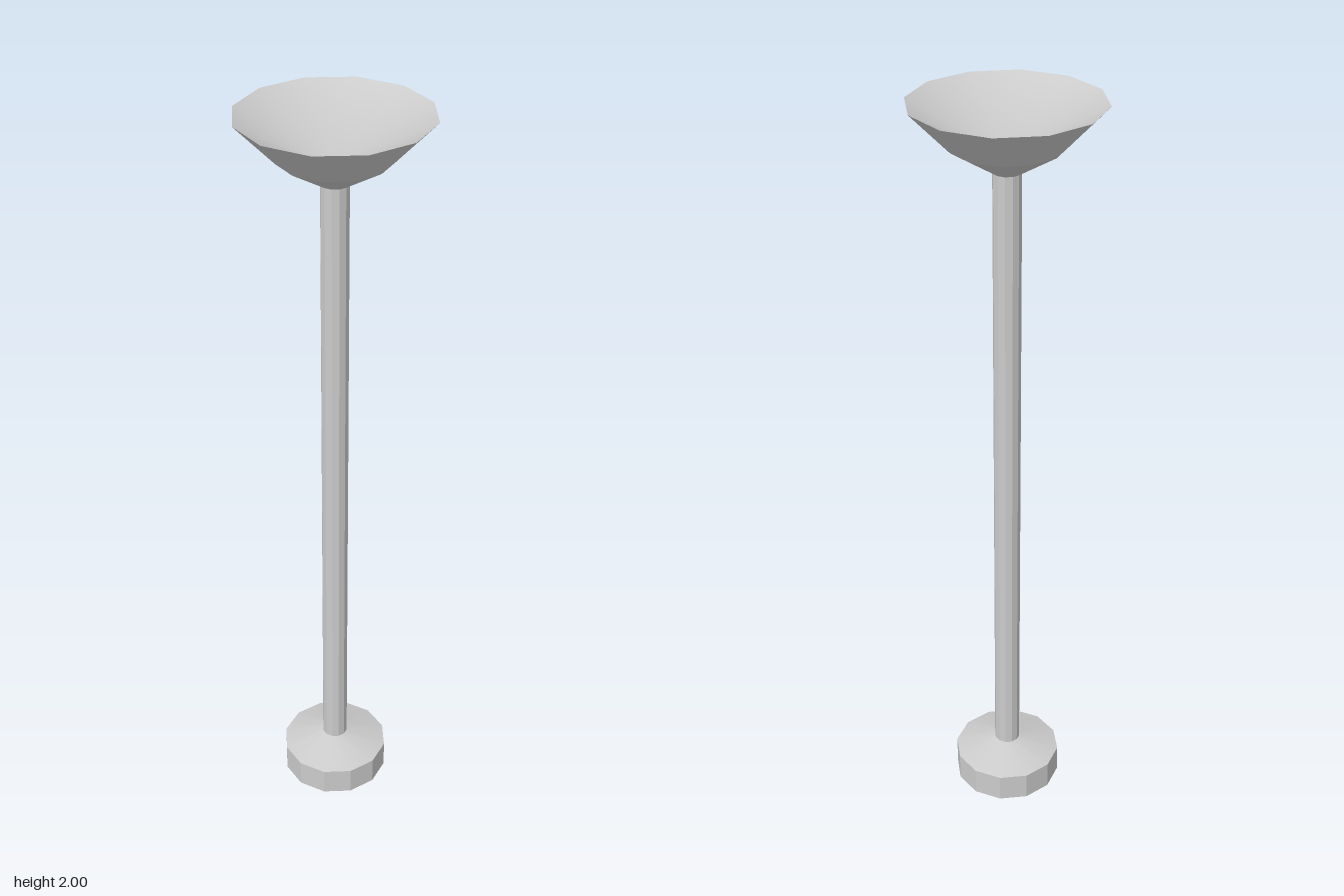
import * as THREE from 'three';
import { mergeVertices } from 'three/addons/utils/BufferGeometryUtils.js';

const SIDES = 12;

// Revolved part; points run [radius, height] upward for an outward-facing surface
function revolve(name, points, smooth) {
  let geo = new THREE.LatheGeometry(points.map(([r, y]) => new THREE.Vector2(r, y)), SIDES);
  if (smooth) {
    geo.deleteAttribute('normal');
    geo.deleteAttribute('uv');
    geo = mergeVertices(geo, 1e-4);
    geo.computeVertexNormals();
  }
  const mesh = new THREE.Mesh(geo, new THREE.MeshStandardMaterial({
    color: 0xcccccc, flatShading: !smooth, side: THREE.DoubleSide,
  }));
  mesh.name = name;
  return mesh;
}

export function createModel() {
  const model = new THREE.Group();
  model.name = 'floorLamp';

  // Weighted foot with a sloped top
  const base = new THREE.Group();
  base.name = 'base';
  base.add(
    revolve('baseDrum', [[0, 0], [0.147, 0], [0.147, 0.08]], false),
    revolve('baseSlope', [[0.147, 0.08], [0.035, 0.115]], true),
  );

  // Upright pole
  const pole = revolve('pole', [[0.035, 0.115], [0.035, 1.835]], false);

  // Uplight bowl: smooth neck, faceted rim, shallow smooth inside
  const shade = new THREE.Group();
  shade.name = 'shade';
  shade.add(
    revolve('shadeNeck', [[0.035, 1.835], [0.14, 1.9]], true),
    revolve('shadeRim', [[0.14, 1.9], [0.236, 2]], false),
    revolve('shadeInside', [[0.236, 2], [0, 1.88]], true),
  );

  model.add(base, pole, shade);
  return model;
}
